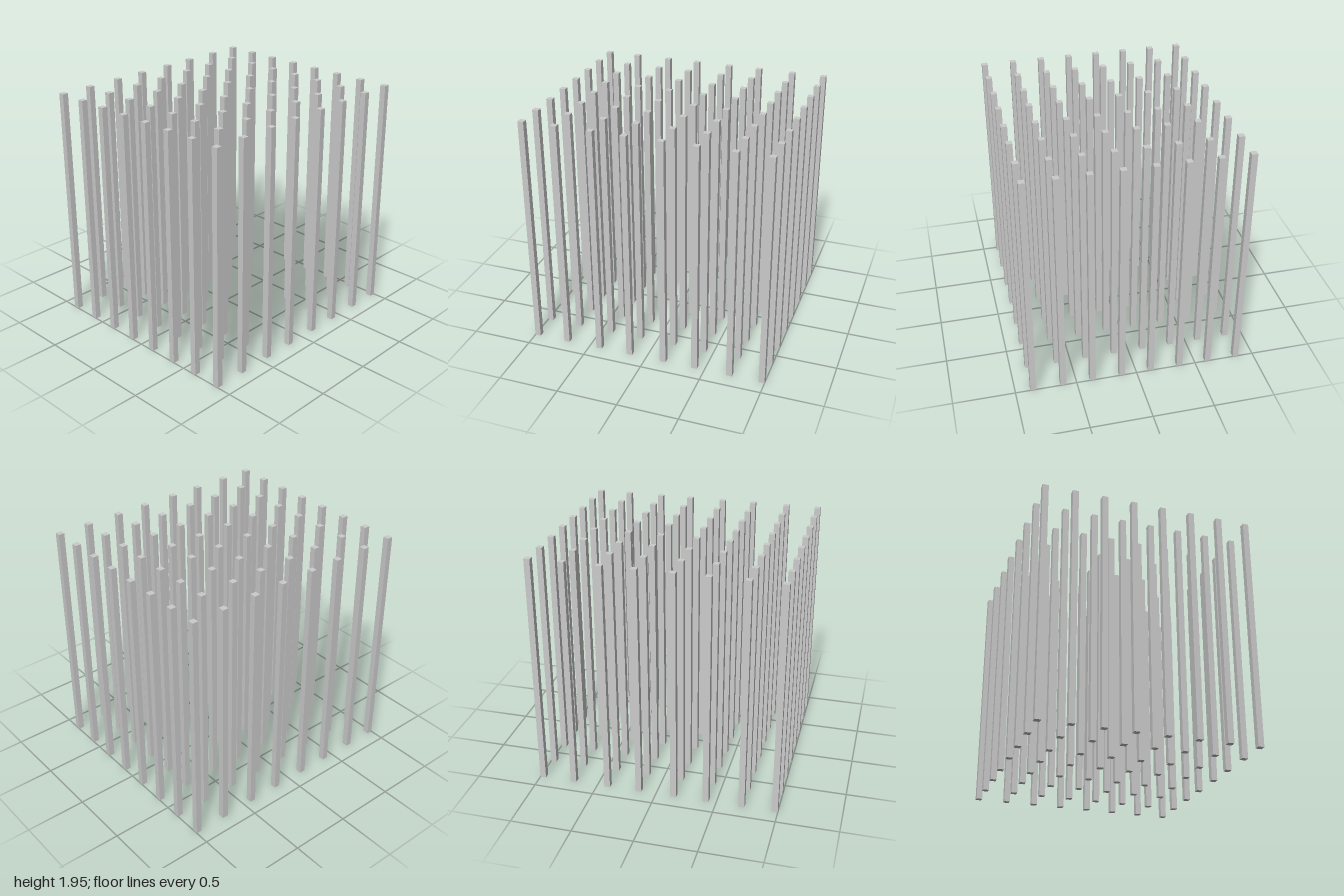
import * as THREE from 'three';

// The whole layout follows one unit: the width of a post
const U = 2 / 41;
const HEIGHT = 40 * U;
const COLUMNS = [2.5, 7.5, 12.5, 17.5]; // mirrored in x
const ROWS = [3, 8.5, 14.5, 20]; // mirrored in z

const mirrored = (offsets) => offsets.flatMap((o) => [-o * U, o * U]).sort((a, b) => a - b);

export function createModel() {
  const model = new THREE.Group();
  model.name = 'postGrid';

  const material = new THREE.MeshStandardMaterial({ color: 0xcccccc, flatShading: true });
  const postGeometry = new THREE.BoxGeometry(U, HEIGHT, U);
  postGeometry.translate(0, HEIGHT / 2, 0);

  // Eight rows of eight square posts
  mirrored(ROWS).forEach((z, r) => {
    const row = new THREE.Group();
    row.name = `postRow${r + 1}`;
    row.position.z = z;
    mirrored(COLUMNS).forEach((x, c) => {
      const post = new THREE.Mesh(postGeometry, material);
      post.name = `post${r + 1}_${c + 1}`;
      post.position.x = x;
      row.add(post);
    });
    model.add(row);
  });

  return model;
}
